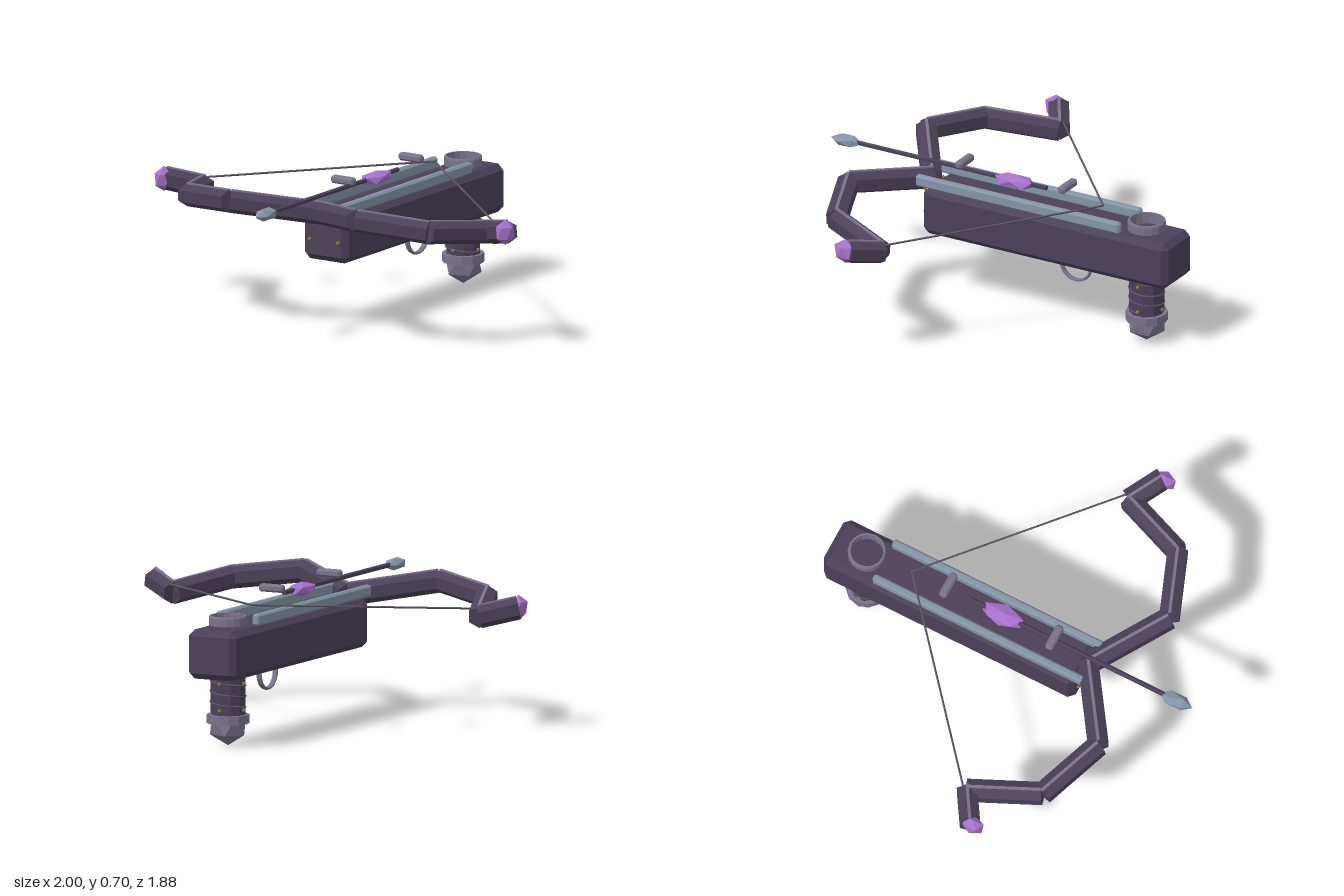
import * as THREE from 'three';
import { ConvexGeometry } from 'three/addons/geometries/ConvexGeometry.js';

const mat = (name, color) => {
  const m = new THREE.MeshStandardMaterial({ color, flatShading: true });
  m.name = name;
  return m;
};

// Box with every edge cut off at 45 degrees
function chamferBox(w, h, d, c) {
  const pts = [];
  for (const x of [-1, 1]) for (const y of [-1, 1]) for (const z of [-1, 1]) {
    const X = x * w / 2, Y = y * h / 2, Z = z * d / 2;
    pts.push(new THREE.Vector3(X, Y - y * c, Z - z * c),
      new THREE.Vector3(X - x * c, Y, Z - z * c),
      new THREE.Vector3(X - x * c, Y - y * c, Z));
  }
  return new ConvexGeometry(pts);
}

// Icosahedron with a corner pointing straight up and down
function gemGeometry(x, y, z) {
  return new THREE.IcosahedronGeometry(1, 0).rotateZ(-Math.atan(2 / (1 + Math.sqrt(5)))).scale(x, y, z);
}

export function createModel() {
  const root = new THREE.Group();
  root.name = 'crossbow';
  const wood = mat('dark wood', 0x4b4058);
  const iron = mat('grey iron', 0x7b738a);
  const steel = mat('blue steel', 0x8494a6);
  const crystal = mat('purple crystal', 0xa672cc);
  const brass = mat('brass', 0x857a3c);
  const cord = mat('cord', 0x5c5463);

  const add = (name, geometry, material, x = 0, y = 0, z = 0) => {
    const m = new THREE.Mesh(geometry, material);
    m.name = name;
    m.position.set(x, y, z);
    root.add(m);
    return m;
  };

  // Rod or strip whose +y runs from a to b, with its +z side facing up
  const between = (name, a, b, makeGeometry, material) => {
    const y = b.clone().sub(a), length = y.length();
    y.normalize();
    const x = new THREE.Vector3().crossVectors(y, new THREE.Vector3(0, 1, 0)).normalize();
    const z = new THREE.Vector3().crossVectors(x, y);
    const m = add(name, makeGeometry(length), material);
    m.quaternion.setFromRotationMatrix(new THREE.Matrix4().makeBasis(x, y, z));
    m.position.copy(a).add(b).multiplyScalar(0.5);
    return m;
  };

  // Stock
  add('stock', chamferBox(0.25, 0.23, 1.32, 0.028), wood, 0, 0.445, -0.28);

  // Open collar on top of the stock
  const collar = [[0.078, 0.555], [0.09, 0.57], [0.09, 0.607], [0.086, 0.615], [0.078, 0.615], [0.078, 0.555]];
  add('topCollar', new THREE.LatheGeometry(collar.map(p => new THREE.Vector2(...p)), 16), iron, 0, 0, -0.765);

  // Grip with collar, pommel, cord and studs
  const gz = -0.765;
  add('grip', new THREE.CylinderGeometry(0.082, 0.082, 0.24, 10), wood, 0, 0.24, gz);
  add('gripCollar', new THREE.CylinderGeometry(0.099, 0.099, 0.042, 12), iron, 0, 0.131, gz);
  add('pommel', gemGeometry(0.095, 0.095, 0.095), iron, 0, 0.1, gz);
  const helix = [];
  for (let i = 0; i <= 36; i++) {
    const a = i / 12 * Math.PI * 2;
    helix.push(new THREE.Vector3(0.083 * Math.cos(a), 0.165 + 0.15 * i / 36, 0.083 * Math.sin(a)));
  }
  add('gripCord', new THREE.TubeGeometry(new THREE.CatmullRomCurve3(helix), 72, 0.004, 4), cord, 0, 0, gz);
  const stud = new THREE.IcosahedronGeometry(0.01, 0);
  for (const y of [0.175, 0.3]) for (let i = 0; i < 4; i++) {
    const a = i * Math.PI / 2;
    add('gripStud', stud, brass, 0.083 * Math.cos(a), y, gz + 0.083 * Math.sin(a));
  }

  // Trigger guard, a flat band sunk into the underside
  const guard = add('triggerGuard', new THREE.TorusGeometry(0.08, 0.007, 6, 20), iron, 0, 0.303, -0.385);
  guard.rotation.y = Math.PI / 2;
  guard.scale.z = 2;

  // Sights
  for (const z of [0.218, -0.338]) add('sight', chamferBox(0.126, 0.036, 0.04, 0.009), iron, 0, 0.688, z);

  // Bolt with steel head and crystal
  add('boltShaft', new THREE.CylinderGeometry(0.012, 0.012, 1.03, 6).rotateX(Math.PI / 2), wood, 0, 0.652, 0.29);
  add('boltHead', gemGeometry(0.04, 0.085, 0.031).rotateX(Math.PI / 2), steel, 0, 0.65, 0.855);
  add('boltCrystal', gemGeometry(0.056, 0.034, 0.115), crystal, 0, 0.648, -0.052);

  // Both sides: rails, front studs, limbs, tip crystals and string
  for (const s of [1, -1]) {
    add('rail', chamferBox(0.036, 0.055, 1.1, 0.009), steel, s * 0.097, 0.587, -0.13);
    for (const y of [0.43, 0.542]) add('frontStud', stud, brass, s * 0.08, y, 0.382);

    const path = [[0, 0.565, 0.395], [0.355, 0.622, 0.635], [0.675, 0.585, 0.51], [0.81, 0.543, 0.185], [0.965, 0.583, 0.282]]
      .map(([x, y, z]) => new THREE.Vector3(s * x, y, z));
    for (let i = 0; i < 4; i++) {
      between('limb', path[i], path[i + 1], l => new THREE.CylinderGeometry(0.055, 0.055, l, 6), wood);
      between('limbRidge', path[i], path[i + 1], l => new THREE.BoxGeometry(0.014, l, 0.009).translate(0, 0, 0.053), iron);
    }
    add('tipCrystal', gemGeometry(0.042, 0.06, 0.062), crystal, s * 0.96, 0.583, 0.292);
    between('bowstring', new THREE.Vector3(s * 0.83, 0.583, 0.18), new THREE.Vector3(0, 0.632, -0.53),
      l => new THREE.CylinderGeometry(0.005, 0.005, l, 5), cord);
  }
  return root;
}
